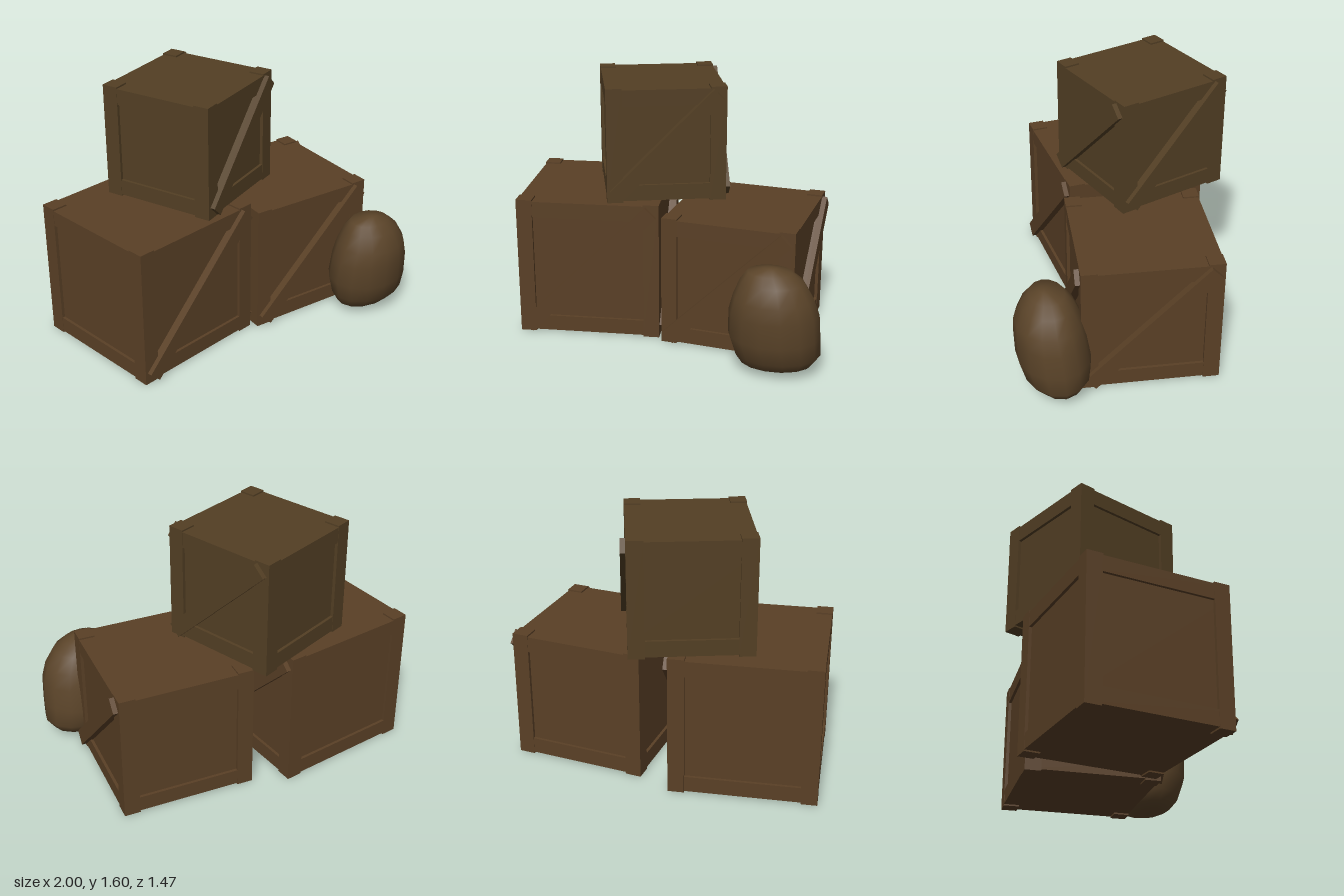
import * as THREE from 'three';

function box(name, material, size, position) {
  const mesh = new THREE.Mesh(new THREE.BoxGeometry(...size), material);
  mesh.name = name;
  mesh.position.set(...position);
  return mesh;
}

// A crate standing on y = 0: recessed core, rail slabs, corner posts and two diagonal braces
function createCrate(name, size, height, material) {
  const crate = new THREE.Group();
  crate.name = name;
  const board = 0.1, lip = 0.01, recess = 0.02, proud = 0.03;
  const half = size / 2;

  crate.add(box('panels', material,
    [size - 2 * recess, height - 2 * board, size - 2 * recess], [0, height / 2, 0]));

  // Top and bottom slabs form the horizontal rails
  for (const y of [lip + board / 2, height - lip - board / 2]) {
    crate.add(box('rails', material, [size - 0.004, board, size - 0.004], [0, y, 0]));
  }

  // Corner posts stand slightly above and below the slabs
  for (const sx of [-1, 1]) for (const sz of [-1, 1]) {
    crate.add(box('cornerPost', material, [board, height, board],
      [sx * (half - board / 2), height / 2, sz * (half - board / 2)]));
  }

  // Diagonal braces on the front and on the +x side
  const run = size - board, rise = height - board + lip;
  for (const turn of [0, Math.PI / 2]) {
    const side = new THREE.Group();
    side.name = 'braceSide';
    side.rotation.y = turn;
    const brace = box('diagonalBrace', material,
      [Math.hypot(run, rise), board * 0.95, proud + recess],
      [0, height / 2, half + (proud - recess) / 2]);
    brace.rotation.z = Math.atan2(rise, run);
    side.add(brace);
    crate.add(side);
  }
  return crate;
}

// A lumpy sack lofted from oval sections: [y, xMin, xMax, zMin, zMax]
function createSack(material) {
  const sections = [
    [0.03, 0.60, 0.84, 0.42, 0.58],
    [0.06, 0.52, 0.95, 0.345, 0.64],
    [0.13, 0.48, 1.00, 0.30, 0.70],
    [0.25, 0.445, 0.995, 0.285, 0.735],
    [0.40, 0.45, 0.985, 0.31, 0.74],
    [0.50, 0.475, 0.95, 0.335, 0.735],
    [0.60, 0.515, 0.89, 0.38, 0.69],
    [0.655, 0.555, 0.82, 0.43, 0.64],
    [0.685, 0.65, 0.73, 0.52, 0.58],
  ];
  const n = 14, points = [], faces = [];
  for (const [y, x0, x1, z0, z1] of sections) {
    for (let i = 0; i < n; i++) {
      const a = (i / n) * Math.PI * 2;
      points.push((x0 + x1) / 2 + Math.cos(a) * (x1 - x0) / 2, y,
        (z0 + z1) / 2 + Math.sin(a) * (z1 - z0) / 2);
    }
  }
  const last = (sections.length - 1) * n;
  const bottom = points.length / 3, top = bottom + 1;
  points.push(0.72, 0.03, 0.5, 0.69, 0.687, 0.55);
  for (let i = 0; i < n; i++) {
    const j = (i + 1) % n;
    for (let r = 0; r < last; r += n) {
      faces.push(r + i, r + n + i, r + j, r + j, r + n + i, r + n + j);
    }
    faces.push(bottom, i, j, top, last + j, last + i);
  }
  const geometry = new THREE.BufferGeometry();
  geometry.setAttribute('position', new THREE.Float32BufferAttribute(points, 3));
  geometry.setIndex(faces);
  geometry.computeVertexNormals();
  const sack = new THREE.Mesh(geometry, material);
  sack.name = 'sack';
  return sack;
}

export function createModel() {
  const model = new THREE.Group();
  model.name = 'crateStack';

  const wood = new THREE.MeshStandardMaterial({ color: 0x5a4026 });
  wood.name = 'brownWood';
  const oldWood = new THREE.MeshStandardMaterial({ color: 0x533f24 });
  oldWood.name = 'oliveWood';
  const cloth = new THREE.MeshStandardMaterial({ color: 0x5b4429 });
  cloth.name = 'sackCloth';

  // name, width, height, position, turn about y, material
  const crates = [
    ['largeCrate', 0.90, 0.89, [-0.52, 0, -0.21], 0.07, wood],
    ['mediumCrate', 0.84, 0.83, [0.457, 0, -0.108], -0.135, wood],
    ['topCrate', 0.74, 0.72, [-0.125, 0.88, -0.27], 0.305, oldWood],
  ];
  for (const [name, size, height, position, turn, material] of crates) {
    const crate = createCrate(name, size, height, material);
    crate.position.set(...position);
    crate.rotation.y = turn;
    model.add(crate);
  }

  model.add(createSack(cloth));
  return model;
}
